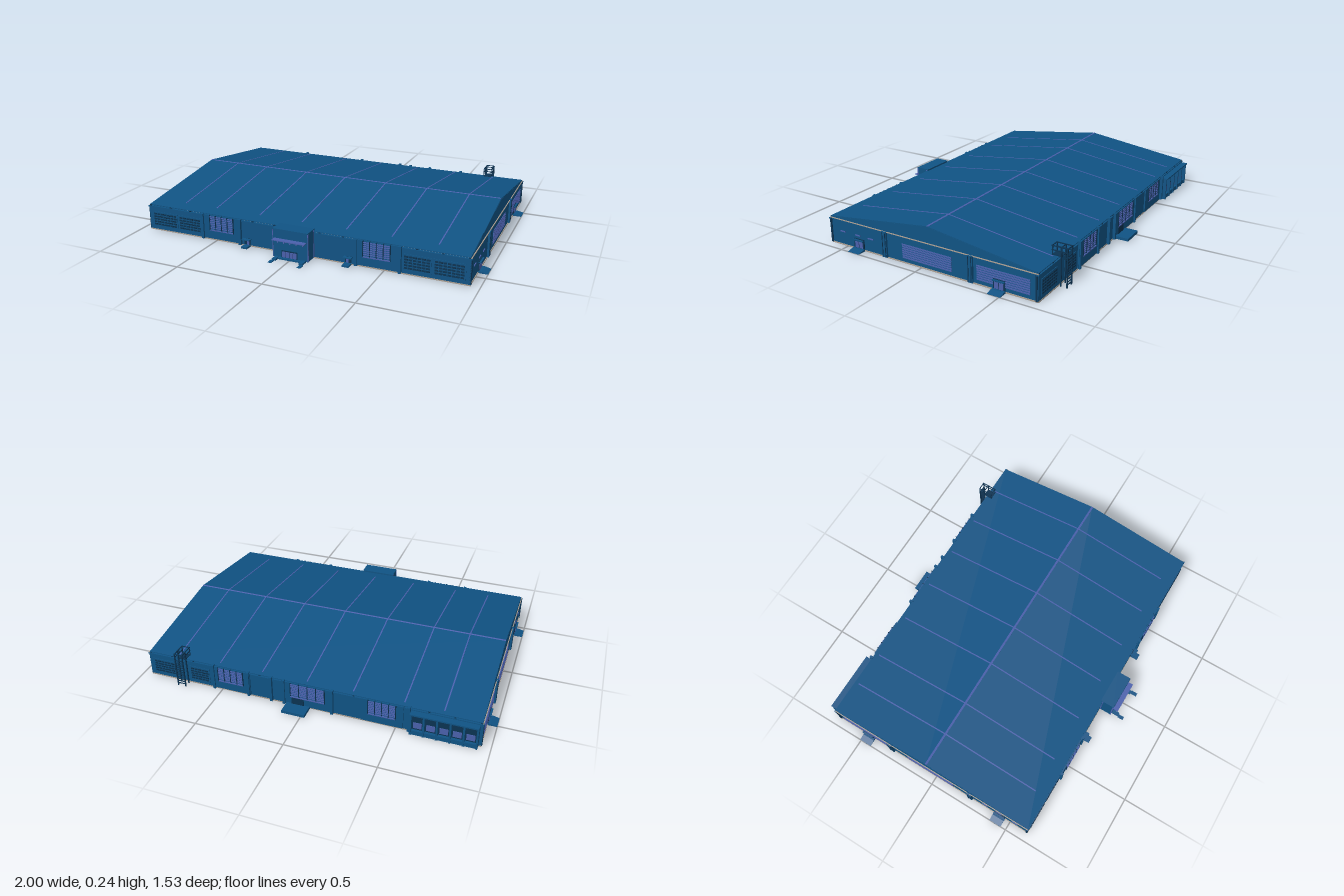
import * as THREE from 'three';

export function createModel() {
  const mat = (name, color, side = THREE.FrontSide) => {
    const m = new THREE.MeshStandardMaterial({ color, side });
    m.name = name;
    return m;
  };
  const blue = mat('panel blue', 0x105384, THREE.DoubleSide);
  const violet = mat('violet trim', 0x4a60ac);
  const navy = mat('dark glass', 0x0b3352);
  const tan = mat('pale trim', 0xa89c90);

  const root = new THREE.Group();
  root.name = 'hall';
  const add = (name, geo, m) => {
    const mesh = new THREE.Mesh(geo, m);
    mesh.name = name;
    root.add(mesh);
    return mesh;
  };
  // box given by its limits on each axis
  const box = (name, m, x0, x1, y0, y1, z0, z1) => {
    const g = new THREE.BoxGeometry(Math.abs(x1 - x0), y1 - y0, Math.abs(z1 - z0));
    g.translate((x0 + x1) / 2, (y0 + y1) / 2, (z0 + z1) / 2);
    return add(name, g, m);
  };
  // solid drawn in the z-y plane and spread along x
  const prism = (name, m, pts, x0, x1) => {
    const shape = new THREE.Shape(pts.map(([z, y]) => new THREE.Vector2(-z, y)));
    const g = new THREE.ExtrudeGeometry(shape, { depth: x1 - x0, bevelEnabled: false });
    g.rotateY(Math.PI / 2).translate(x0, 0, 0);
    return add(name, g, m);
  };

  const W = 0.95, F = 0.615, B = -0.685, TOP = 0.145, RIDGE = -0.045;
  const EAVE = 0.154, PEAK = 0.24;
  const roofY = z => z > RIDGE
    ? PEAK - (PEAK - EAVE) * (z - RIDGE) / (F - RIDGE)
    : PEAK - (PEAK - EAVE) * (RIDGE - z) / (RIDGE - B);

  // long walls, open below and stopping short of the eaves
  box('frontWall', blue, -W, W, 0.004, TOP, F - 0.01, F);
  box('backWall', blue, -W, W, 0.004, TOP, B, B + 0.01);

  // roof shell
  prism('roof', blue, [[F, EAVE], [RIDGE, PEAK], [B, EAVE], [B, EAVE - 0.004],
    [RIDGE, PEAK - 0.004], [F, EAVE - 0.004]], -0.945, 0.945);

  // roof seams and ridge cap, showing on both faces
  const strip = (z0, z1, x, w) => prism('roofSeam', violet, [
    [z0, roofY(z0) + 0.001], [z1, roofY(z1) + 0.001],
    [z1, roofY(z1) - 0.006], [z0, roofY(z0) - 0.006]], x - w / 2, x + w / 2);
  for (const x of [-0.745, -0.537, -0.26, 0, 0.26, 0.514, 0.765]) {
    strip(0.545, RIDGE, x, 0.007);
    strip(RIDGE, -0.66, x, 0.007);
  }
  prism('ridgeCap', violet, [[RIDGE + 0.006, PEAK], [RIDGE, PEAK + 0.002], [RIDGE - 0.006, PEAK],
    [RIDGE - 0.006, PEAK - 0.006], [RIDGE + 0.006, PEAK - 0.006]], -0.945, 0.945);

  // stubs carrying the eaves
  for (let i = 0; i <= 14; i++) {
    const x = -0.94 + i * 1.88 / 14;
    box('eaveStub', navy, x - 0.005, x + 0.005, TOP, EAVE, F - 0.01, F);
    box('eaveStub', navy, x - 0.005, x + 0.005, TOP, EAVE, B, B + 0.01);
  }

  // pale footing and cornice lines
  for (const [z, s] of [[F, 1], [B, -1]]) {
    box('footing', tan, -W, W, 0, 0.006, z - s * 0.01, z + s * 0.002);
    box('cornice', blue, -W - 0.004, W + 0.004, TOP - 0.006, TOP, z - s * 0.01, z + s * 0.004);
  }

  // pentagonal end walls with blinds, piers, doors and ramps
  for (const s of [1, -1]) {
    const span = (a, b) => s > 0 ? [a, b] : [-b, -a];
    const side = (name, m, a, b, y0, y1, z0, z1) => box(name, m, ...span(a, b), y0, y1, z0, z1);
    prism('endWall', blue, [[F, 0.004], [F, EAVE - 0.004], [RIDGE, PEAK - 0.003],
      [B, EAVE - 0.004], [B, 0.004]], ...span(W - 0.012, W - 0.004));
    side('footing', tan, W - 0.012, W, 0, 0.006, B, F);
    side('cornice', tan, W - 0.006, W + 0.001, TOP, TOP + 0.004, B, F);
    for (const [z0, z1] of [[-0.19, 0.12], [-0.64, -0.34]])
      for (let i = 0; i < 7; i++)
        side('blindSlat', violet, W - 0.006, W, 0.028 + i * 0.012, 0.035 + i * 0.012, z0, z1);
    for (const z of [0.235, -0.305]) {
      side('pier', blue, W - 0.005, W + 0.007, 0.004, TOP + 0.004, z - 0.015, z + 0.015);
      for (const d of [-0.009, 0.009])
        side('pierGroove', navy, W + 0.006, W + 0.009, 0.008, TOP, z + d - 0.002, z + d + 0.002);
    }
    for (const z of [0.53, 0.425, 0.335])
      side('ventStrip', violet, W - 0.006, W, 0.077, 0.083, z - 0.018, z + 0.018);
    for (const z of [F - 0.005, B + 0.008])
      side('cornerPost', navy, W - 0.008, W + 0.003, 0.004, TOP, z - 0.005, z + 0.005);
    for (const z of [s > 0 ? 0.415 : 0.43, -0.47]) {
      side('doorFrame', navy, W - 0.006, W + 0.002, 0.008, 0.062, z - 0.034, z + 0.034);
      for (const d of [-0.014, 0.014])
        side('doorLeaf', violet, W, W + 0.004, 0.012, 0.047, z + d - 0.012, z + d + 0.012);
      side('doorHood', blue, W - 0.004, W + 0.012, 0.054, 0.06, z - 0.034, z + 0.034);
      // ramp tapering outward
      const r = new THREE.Shape([[W - 0.01, 0], [1, 0], [1, 0.002], [W + 0.015, 0.01], [W - 0.01, 0.01]]
        .map(([x, y]) => new THREE.Vector2(x, y)));
      const g = new THREE.ExtrudeGeometry(r, { depth: 0.074, bevelEnabled: false });
      if (s < 0) g.rotateY(Math.PI).translate(0, 0, 0.074);
      g.translate(0, 0, z - 0.037);
      add('sideRamp', g, blue);
    }
  }

  // window grids of the front
  const windowGrid = (x0, x1, y0, y1, z, out, cols, rows) => {
    box('windowFrame', blue, x0 - 0.006, x1 + 0.006, y0 - 0.006, y1 + 0.006, z, z + out * 0.003);
    const dx = (x1 - x0) / cols, dy = (y1 - y0) / rows;
    for (let i = 0; i < cols; i++) for (let j = 0; j < rows; j++)
      box('pane', navy, x0 + i * dx + 0.002, x0 + (i + 1) * dx - 0.002,
        y0 + j * dy + 0.003, y0 + (j + 1) * dy - 0.003, z, z + out * 0.005);
  };
  // projecting bay with violet louvres
  const louvreBay = (x0, x1, z, out) => {
    box('bay', blue, x0 - 0.04, x1 + 0.04, 0.01, 0.15, z, z + out * 0.008);
    for (let i = 0; i < 7; i++)
      box('louvre', violet, x0, x1, 0.072 + i * 0.011, 0.078 + i * 0.011, z, z + out * 0.012);
    box('baySill', violet, x0, x1, 0.06, 0.065, z, z + out * 0.015);
    for (let i = 0; i <= 4; i++) {
      const x = x0 + (x1 - x0) * i / 4;
      box('mullion', navy, x - 0.002, x + 0.002, 0.06, 0.15, z, z + out * 0.014);
    }
  };
  for (const s of [1, -1]) {
    const span = (a, b) => s > 0 ? [a, b] : [-b, -a];
    windowGrid(...span(0.765, 0.92), 0.03, 0.108, F, 1, 7, 5);
    windowGrid(...span(0.605, 0.745), 0.03, 0.108, F, 1, 6, 5);
    louvreBay(...span(0.385, 0.535), F, 1);
    for (const x of [0.585, 0.345])
      box('pier', blue, ...span(x - 0.008, x + 0.008), 0.004, 0.152, F - 0.005, F + 0.015);
    // side door with step
    box('sideDoor', navy, ...span(0.285, 0.32), 0.01, 0.045, F, F + 0.004);
    box('sideDoorLeaf', violet, ...span(0.29, 0.304), 0.01, 0.035, F, F + 0.006);
    box('sideDoorHood', blue, ...span(0.278, 0.327), 0.04, 0.045, F, F + 0.025);
    box('sideStep', blue, ...span(0.283, 0.32), 0, 0.01, F, F + 0.045);
    // entrance side rails
    box('entranceCurb', blue, ...span(0.068, 0.09), 0, 0.01, 0.685, 0.73);
    box('entranceCurb', blue, ...span(0.075, 0.095), 0, 0.004, 0.73, 0.765);
  }

  // entrance block with canopy, doors and landing
  box('entrance', blue, -0.103, 0.103, 0.004, 0.165, F - 0.01, 0.688);
  for (const x of [-0.103, 0.103]) for (const z of [0.618, 0.686])
    box('entranceEdge', violet, x - 0.002, x + 0.002, 0.006, 0.16, z - 0.004, z + 0.003);
  box('canopy', violet, -0.095, 0.095, 0.108, 0.113, 0.688, 0.718);
  box('entranceStep', blue, -0.068, 0.068, 0, 0.008, 0.685, 0.705);
  box('entranceDoorFrame', navy, -0.052, 0.042, 0.008, 0.048, 0.688, 0.69);
  for (let i = 0; i < 4; i++)
    box('entranceDoor', violet, -0.048 + i * 0.022, -0.029 + i * 0.022, 0.01, 0.042, 0.688, 0.693);
  for (let i = 0; i < 5; i++)
    box('entranceLamp', violet, -0.077 + i * 0.037, -0.071 + i * 0.037, 0.088, 0.094, 0.688, 0.693);

  // rear piers, bays and loading platform
  for (const x of [-0.57, -0.15, 0.125, 0.2, 0.335, 0.545])
    box('rearPier', blue, x - 0.007, x + 0.007, 0.004, 0.158, B + 0.005, B - 0.016);
  louvreBay(-0.11, 0.085, B, -1);
  louvreBay(0.365, 0.515, B, -1);
  louvreBay(-0.5, -0.35, B, -1);
  windowGrid(0.775, 0.92, 0.03, 0.108, B, -1, 7, 5);
  windowGrid(0.58, 0.69, 0.03, 0.108, B, -1, 5, 5);
  box('platform', blue, -0.022, 0.11, 0, 0.016, B, -0.77);
  box('rearDoor', navy, 0.01, 0.08, 0.016, 0.058, B, B - 0.012);

  // glazed corner bay at the rear
  box('cornerBayCanopy', blue, -0.935, -0.58, 0.132, 0.14, B, -0.725);
  box('cornerBayBase', blue, -0.935, -0.58, 0.004, 0.03, B, -0.715);
  box('cornerBayBack', navy, -0.925, -0.59, 0.03, 0.132, B, -0.7);
  for (let i = 0; i < 6; i++) {
    const x = -0.93 + i * 0.069;
    box('cornerBayPost', blue, x - 0.005, x + 0.005, 0.004, 0.14, B, -0.72);
    if (i < 5) box('cornerBayPanel', violet, x + 0.012, x + 0.057, 0.04, 0.075, -0.7, -0.704);
  }

  // roof ladder with railed top landing
  const LX0 = 0.708, LX1 = 0.754;
  for (const x of [LX0, LX1]) {
    for (const z of [-0.698, -0.732]) box('ladderPost', navy, x - 0.003, x + 0.003, 0, 0.21, z - 0.003, z + 0.003);
    box('landingPost', navy, x - 0.002, x + 0.002, 0.155, 0.21, -0.652, -0.648);
    for (const y of [0.207, 0.185]) box('landingRail', navy, x - 0.002, x + 0.002, y - 0.002, y + 0.003, -0.735, -0.645);
  }
  for (let i = 0; i < 11; i++)
    box('rung', navy, LX0, LX1, 0.014 + i * 0.015, 0.018 + i * 0.015, -0.734, -0.73);
  for (const z of [-0.733, -0.698, -0.648]) box('landingCrossbar', navy, LX0, LX1, 0.206, 0.21, z - 0.002, z + 0.002);
  box('landing', navy, LX0, LX1, 0.158, 0.162, -0.7, -0.648);

  return root;
}
